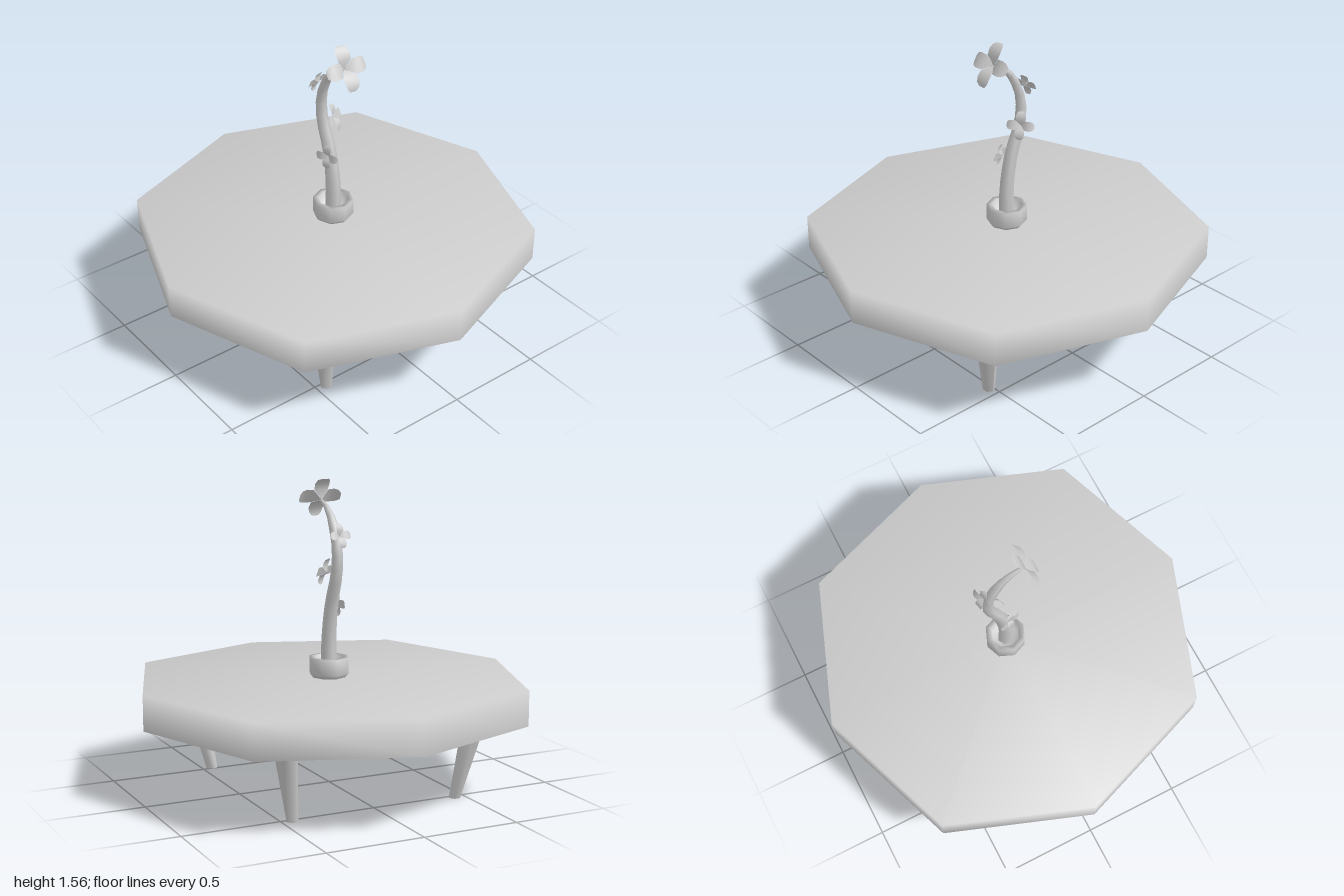
import * as THREE from 'three';

const material = new THREE.MeshStandardMaterial({ color: 0xcccccc, side: THREE.DoubleSide });

function makeMesh(name, geometry) {
  const mesh = new THREE.Mesh(geometry, material);
  mesh.name = name;
  return mesh;
}

function fromTriangles(positions, index) {
  const geometry = new THREE.BufferGeometry();
  geometry.setAttribute('position', new THREE.Float32BufferAttribute(positions, 3));
  geometry.setIndex(index);
  geometry.computeVertexNormals();
  return geometry;
}

// Open-bottomed octagonal shell: a top fan and a skirt sharing smooth normals
function tabletopGeometry(top, bottom) {
  const positions = [0, top, 0], index = [];
  for (const y of [top, bottom]) {
    for (let i = 0; i < 8; i++) {
      const a = i * Math.PI / 4, r = i % 2 ? 1.037 : 1;
      positions.push(r * Math.sin(a), y, r * Math.cos(a));
    }
  }
  for (let i = 0; i < 8; i++) {
    const a = 1 + i, b = 1 + (i + 1) % 8;
    index.push(0, a, b, a, a + 8, b + 8, a, b + 8, b);
  }
  return fromTriangles(positions, index);
}

// Tapered leg, sheared outward towards its top
function legGeometry(height) {
  const geometry = new THREE.CylinderGeometry(0.064, 0.031, height, 6);
  geometry.translate(0, height / 2, 0);
  const p = geometry.attributes.position;
  for (let i = 0; i < p.count; i++) {
    const t = p.getY(i) / 0.38;
    p.setX(i, p.getX(i) + 0.52 + 0.063 * t);
    p.setZ(i, p.getZ(i) + 0.445 + 0.063 * t);
  }
  geometry.computeVertexNormals();
  return geometry;
}

// Bent stem: rings along a curve, narrowing to the tip
function stemGeometry() {
  const path = new THREE.CatmullRomCurve3([
    [0, 0.58], [0, 0.76], [-0.03, 0.94], [-0.09, 1.11], [-0.088, 1.25], [0, 1.405], [0.095, 1.455],
  ].map(([x, y]) => new THREE.Vector3(x, y, 0)));
  const rings = 14, sides = 6, positions = [], index = [];
  for (let i = 0; i <= rings; i++) {
    const t = i / rings, c = path.getPointAt(t), d = path.getTangentAt(t);
    const r = 0.042 - 0.022 * t - 0.012 * Math.max(0, t - 0.8) / 0.2;
    for (let j = 0; j < sides; j++) {
      const a = j / sides * Math.PI * 2, u = r * Math.cos(a), v = r * Math.sin(a);
      positions.push(c.x + d.y * u, c.y - d.x * u, v);
      if (i < rings) {
        const k = i * sides + j, n = i * sides + (j + 1) % sides;
        index.push(k, k + sides, n, n, k + sides, n + sides);
      }
    }
  }
  return fromTriangles(positions, index);
}

// Four-petalled flower facing +z, its cupped centre at the origin
function flowerGeometry() {
  // distance out, half width, height above the centre
  const stations = [[0, 0, 0], [0.04, 0.038, 0.032], [0.075, 0.04, 0.035], [0.1, 0.034, 0.03], [0.115, 0.018, 0.02]];
  const positions = [], index = [];
  for (let k = 0; k < 4; k++) {
    const c = Math.round(Math.cos(k * Math.PI / 2)), s = Math.round(Math.sin(k * Math.PI / 2));
    const base = k * stations.length * 2;
    stations.forEach(([r, w, h], i) => {
      for (const side of [-w, w]) positions.push(c * r - s * side, s * r + c * side, h);
      if (i > 0) {
        const q = base + i * 2;
        index.push(q - 2, q, q + 1);
        if (i > 1) index.push(q - 2, q + 1, q - 1);
      }
    });
  }
  return fromTriangles(positions, index);
}

export function createModel() {
  const model = new THREE.Group();
  model.name = 'tableWithPottedFlower';

  model.add(makeMesh('tabletop', tabletopGeometry(0.56, 0.38)));

  // Four splayed legs
  const leg = legGeometry(0.4);
  for (let i = 0; i < 4; i++) {
    const sx = i % 2 ? -1 : 1, sz = i < 2 ? 1 : -1;
    const mesh = makeMesh('leg', leg);
    mesh.scale.set(sx, 1, sz);
    model.add(mesh);
  }

  // Thick-walled octagonal pot
  const potProfile = [[0, 0.557], [0.085, 0.557], [0.105, 0.58], [0.105, 0.662], [0.078, 0.662], [0.07, 0.6], [0, 0.6]];
  model.add(makeMesh('pot', new THREE.LatheGeometry(potProfile.map(([r, y]) => new THREE.Vector2(r, y)), 8)));

  model.add(makeMesh('stem', stemGeometry()));

  // Flowers: position, facing direction, scale
  const flower = flowerGeometry();
  const placements = [
    ['topFlower', [0.085, 1.455, 0], [0.85, 0.53, 0], 1],
    ['lowerFlower', [0.0, 0.93, 0.03], [0.35, 0.1, 1], 0.55],
    ['middleFlower', [-0.06, 1.105, -0.04], [0.8, 0.35, -0.5], 0.62],
    ['upperFlower', [-0.115, 1.29, 0], [-0.85, 0.35, 0.2], 0.55],
  ];
  for (const [name, at, facing, scale] of placements) {
    const mesh = makeMesh(name, flower);
    mesh.position.set(...at);
    mesh.lookAt(new THREE.Vector3(...at).add(new THREE.Vector3(...facing)));
    mesh.scale.setScalar(scale);
    model.add(mesh);
  }
  return model;
}
